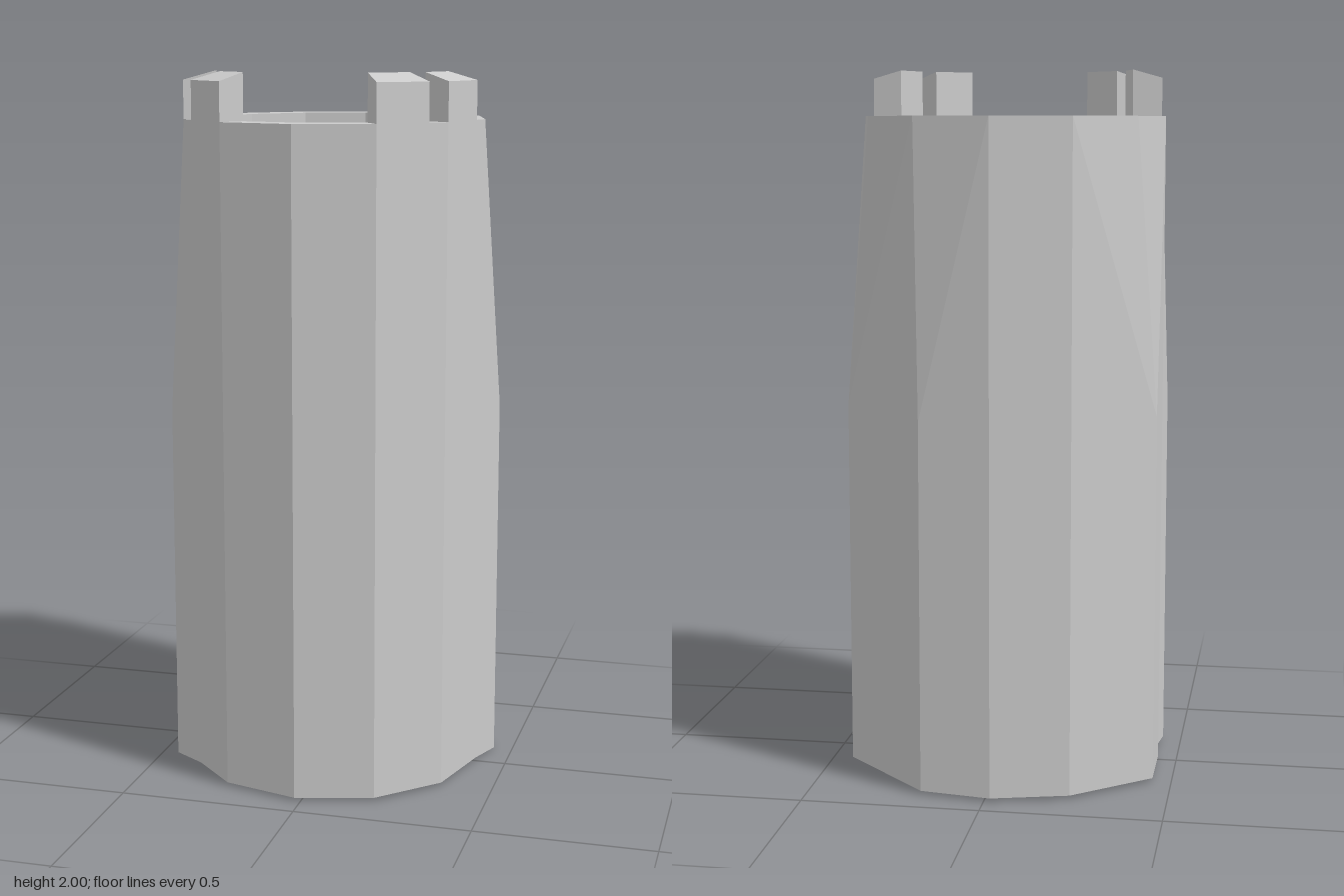
import * as THREE from 'three';

const OUTER = 0.43, INNER = 0.345, CX = -0.017;
const WALL_TOP = 1.87, KNEE = 1.05, BASE = 0.01;

// Point on a 12-sided ring; fractional k lies on the straight side between corners
function ringPoint(r, k) {
  const corner = (i) => {
    const a = (i * Math.PI) / 6;
    return new THREE.Vector2(CX + r * Math.cos(a), r * Math.sin(a));
  };
  return corner(Math.floor(k)).lerp(corner(Math.floor(k) + 1), k % 1);
}

const at = (p, y) => [p.x, y, p.y];

// Collects triangles and quads into a faceted mesh
function facetedMesh(name, build) {
  const positions = [];
  const tri = (...corners) => corners.forEach((c) => positions.push(...c));
  const quad = (a, b, c, d) => { tri(a, b, c); tri(a, c, d); };
  build(quad, tri);
  const geometry = new THREE.BufferGeometry();
  geometry.setAttribute('position', new THREE.Float32BufferAttribute(positions, 3));
  geometry.computeVertexNormals();
  const mesh = new THREE.Mesh(
    geometry,
    new THREE.MeshStandardMaterial({ color: 0xcccccc, flatShading: true })
  );
  mesh.name = name;
  return mesh;
}

// Hollow wall whose lower part flares out at a few corners
function createWall() {
  const flared = { 5: [-0.447, 0.19], 7: [-0.447, -0.193], 10: [0.183, -0.4], 11: [0.445, -0.12] };
  const keys = [0, 0.23, 1, 1.27, 2, 3, 4, 4.78, 5, 5.72, 6, 7, 8, 9, 10, 11];
  const columns = keys.map((k) => {
    const top = ringPoint(OUTER, k);
    const low = flared[k] ? new THREE.Vector2(...flared[k]) : top;
    const inner = ringPoint(INNER, k);
    return {
      moved: k in flared,
      top: at(top, WALL_TOP),
      knee: at(low, KNEE),
      foot: at(low, k === 11 ? 0 : BASE),
      innerTop: at(inner, WALL_TOP),
      innerFoot: at(inner, BASE),
    };
  });
  return facetedMesh('towerWall', (quad, tri) => {
    columns.forEach((a, i) => {
      const b = columns[(i + 1) % columns.length];
      // upper wall, split so the flare stays convex
      if (b.moved) {
        tri(a.knee, a.top, b.knee);
        tri(a.top, b.top, b.knee);
      } else {
        quad(a.knee, a.top, b.top, b.knee);
      }
      quad(a.foot, a.knee, b.knee, b.foot); // lower wall
      quad(a.top, a.innerTop, b.innerTop, b.top); // rim
      quad(a.innerTop, a.innerFoot, b.innerFoot, b.innerTop); // bore
      quad(a.innerFoot, a.foot, b.foot, b.innerFoot); // underside
    });
  });
}

// Raised block on the rim, its top sloping down to the outside
function createMerlon(from, to) {
  return facetedMesh('merlon', (quad) => {
    const [a, b] = [from, to].map((k) => {
      const o = ringPoint(OUTER, k), n = ringPoint(INNER, k);
      return { o: at(o, WALL_TOP), O: at(o, 1.977), n: at(n, WALL_TOP), N: at(n, 2) };
    });
    quad(a.o, a.O, b.O, b.o);
    quad(a.O, a.N, b.N, b.O);
    quad(a.N, a.n, b.n, b.N);
    quad(a.n, a.N, a.O, a.o);
    quad(b.o, b.O, b.N, b.n);
  });
}

export function createModel() {
  const tower = new THREE.Group();
  tower.name = 'tower';
  tower.add(createWall());

  const merlons = new THREE.Group();
  merlons.name = 'merlons';
  for (const [from, to] of [[0.23, 1], [1.27, 2], [4, 4.78], [5, 5.72]]) {
    merlons.add(createMerlon(from, to));
  }
  tower.add(merlons);
  return tower;
}
